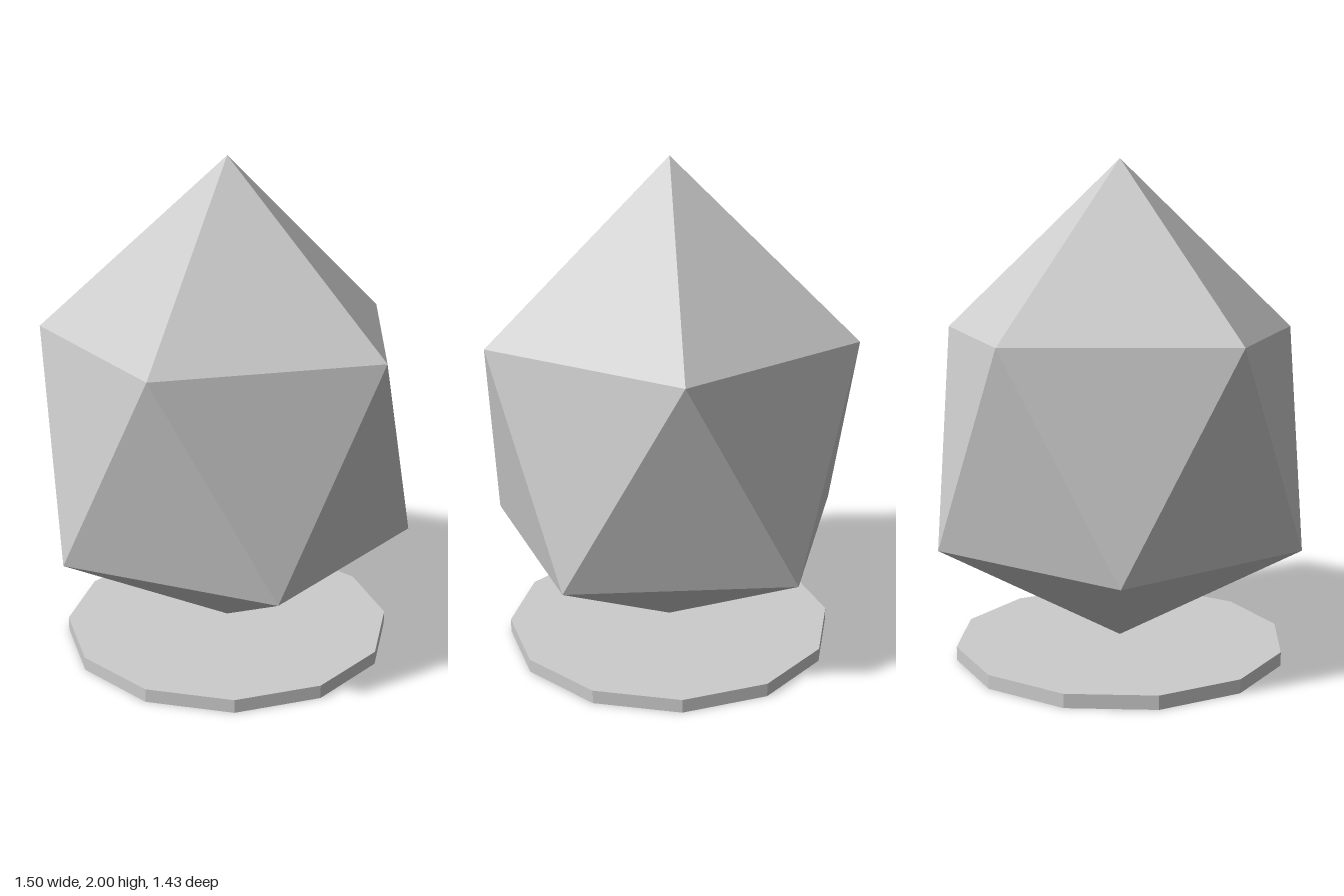
import * as THREE from 'three';

const SIDES = 5;

// Faceted crystal: two staggered five-point rings closed by an upper and a lower tip
function crystalGeometry(radius, bottomY, lowerY, upperY, topY) {
  const ring = (y, offset) => Array.from({ length: SIDES }, (_, i) => {
    const a = ((i + offset) / SIDES) * Math.PI * 2;
    return [radius * Math.cos(a), y, radius * Math.sin(a)];
  });
  const upper = ring(upperY, 0);
  const lower = ring(lowerY, 0.5);
  const top = [0, topY, 0];
  const bottom = [0, bottomY, 0];
  const points = [];
  for (let i = 0; i < SIDES; i++) {
    const j = (i + 1) % SIDES;
    points.push(
      top, upper[j], upper[i],         // crown
      upper[i], upper[j], lower[i],    // band, pointing down
      lower[i], upper[j], lower[j],    // band, pointing up
      bottom, lower[i], lower[j],      // lower tip
    );
  }
  const geometry = new THREE.BufferGeometry();
  geometry.setAttribute('position', new THREE.Float32BufferAttribute(points.flat(), 3));
  geometry.computeVertexNormals();
  return geometry;
}

export function createModel() {
  const model = new THREE.Group();
  model.name = 'crystalOnDisc';

  const paleGrey = new THREE.MeshStandardMaterial({ color: 0xcccccc, flatShading: true });
  paleGrey.name = 'paleGrey';

  // Crystal balanced on its lower tip
  const crystal = new THREE.Mesh(crystalGeometry(0.75, 0.06, 0.48, 1.32, 2), paleGrey);
  crystal.name = 'crystal';

  // Thin twelve-sided base
  const base = new THREE.Mesh(new THREE.CylinderGeometry(0.675, 0.675, 0.055, 12), paleGrey);
  base.name = 'baseDisc';
  base.position.y = 0.0275;

  model.add(crystal, base);
  return model;
}
